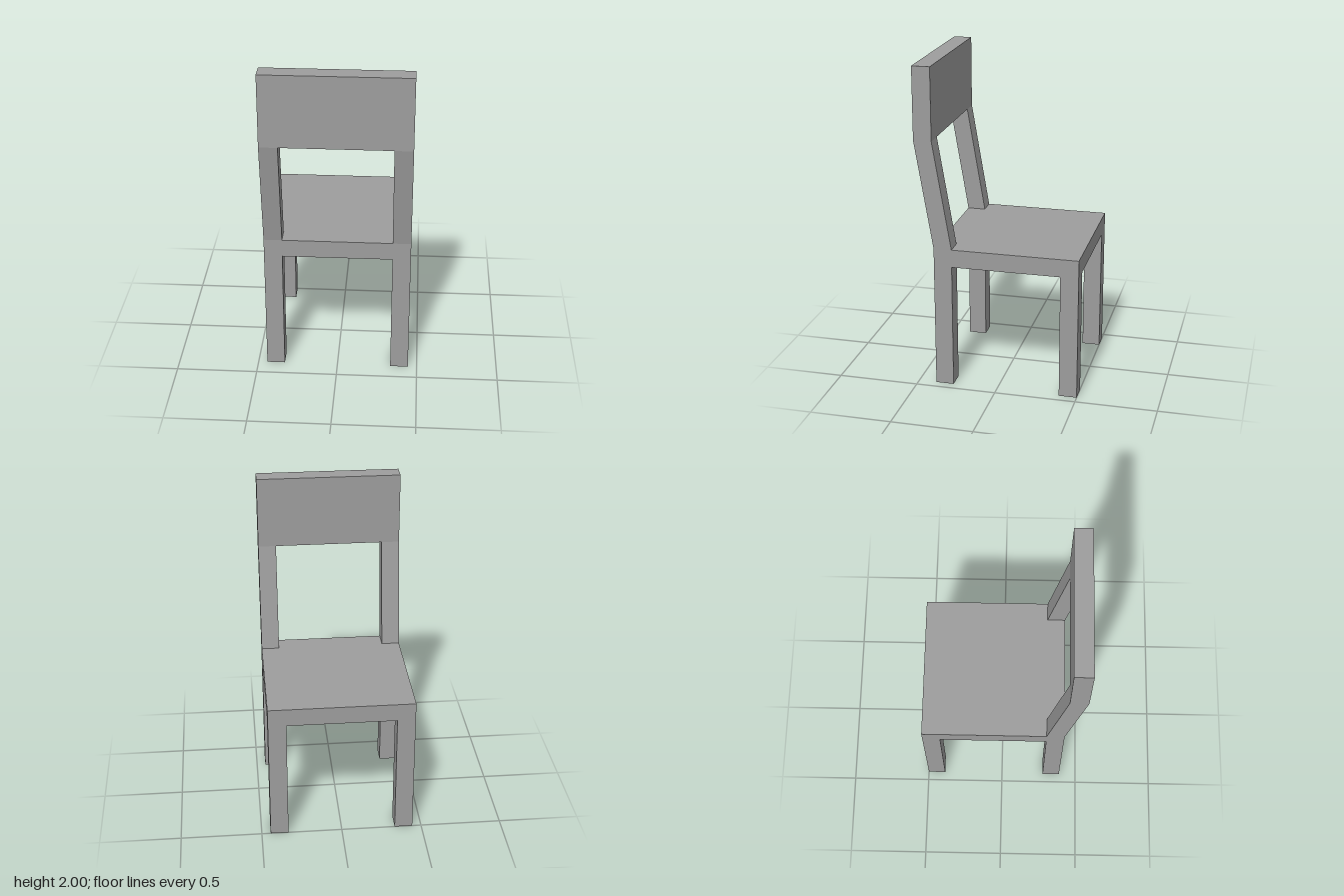
import * as THREE from 'three';

const U = 1 / 9; // thickness of every board and leg
const material = new THREE.MeshStandardMaterial({ color: 0x9d9d9d, flatShading: true });

// Box given by its lower and upper corners, in thickness units
function box(name, [x0, y0, z0], [x1, y1, z1]) {
  const geometry = new THREE.BoxGeometry((x1 - x0) * U, (y1 - y0) * U, (z1 - z0) * U);
  const mesh = new THREE.Mesh(geometry, material);
  mesh.name = name;
  mesh.position.set((x0 + x1) / 2 * U, (y0 + y1) / 2 * U, (z0 + z1) / 2 * U);
  return mesh;
}

export function createModel() {
  const chair = new THREE.Group();
  chair.name = 'chair';

  // Seat slab and upright back panel; the backrest stands on the +z side
  chair.add(box('seat', [-4, 7, -4.5], [4, 8, 3.5]));
  chair.add(box('backPanel', [-4, 14, 3.5], [4, 18, 4.5]));

  for (const [side, x] of [['right', -4], ['left', 3]]) {
    // Square legs flush with the seat corners
    chair.add(box(side + 'LegAtOpenEdge', [x, 0, -4.5], [x + 1, 7, -3.5]));
    chair.add(box(side + 'LegUnderBackrest', [x, 0, 2.5], [x + 1, 7, 3.5]));

    // Post sheared backwards by one thickness, keeping its ends level
    const post = box(side + 'BackPost', [x, 8, 3], [x + 1, 14, 4]);
    const p = post.geometry.attributes.position;
    for (let i = 0; i < p.count; i++) p.setZ(i, p.getZ(i) + p.getY(i) / 6);
    post.geometry.computeVertexNormals();
    chair.add(post);
  }
  return chair;
}
